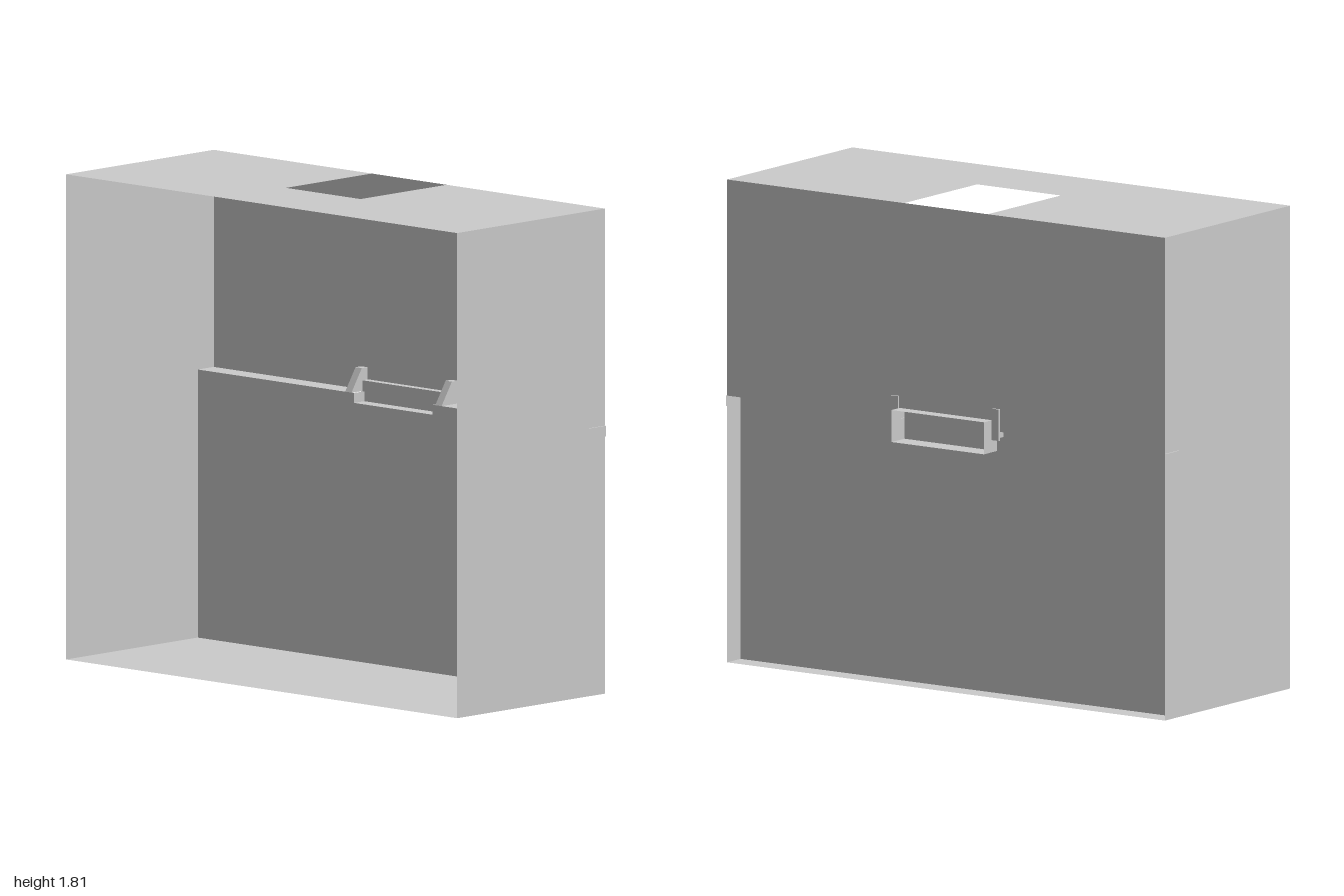
import * as THREE from 'three';

const W = 0.994, H = 1.81, FRONT = 0.42, BACK = -0.37, INNER = -0.285, SHELF = 1.0;
const material = new THREE.MeshStandardMaterial({ color: 0xcccccc, side: THREE.DoubleSide, flatShading: true });

function outline(points) {
  return new THREE.Shape(points.map(([a, b]) => new THREE.Vector2(a, b)));
}

export function createModel() {
  const model = new THREE.Group();

  const add = (name, geometry) => {
    const mesh = new THREE.Mesh(geometry, material);
    mesh.name = name;
    model.add(mesh);
    return mesh;
  };
  // upright sheet facing z, points are (x, y)
  const upright = (name, z, points) =>
    add(name, new THREE.ShapeGeometry(outline(points)).translate(0, 0, z));
  // level sheet, points are (x, z)
  const level = (name, y, points) =>
    add(name, new THREE.ShapeGeometry(outline(points.map(([x, z]) => [x, -z]))).rotateX(-Math.PI / 2).translate(0, y, 0));
  // side sheet facing x, points are (z, y)
  const side = (name, x, points) =>
    add(name, new THREE.ShapeGeometry(outline(points.map(([z, y]) => [-z, y]))).rotateY(Math.PI / 2).translate(x, 0, 0));
  const rect = (a0, b0, a1, b1) => [[a0, b0], [a1, b0], [a1, b1], [a0, b1]];

  // open-fronted case
  level('floor', 0, rect(-W, BACK, W, FRONT));
  level('topPanel', H, [
    [-W, FRONT], [W, FRONT], [W, BACK], [0.19, BACK], [0.19, 0.09], [-0.19, 0.09], [-0.19, BACK], [-W, BACK],
  ]);
  for (const s of [-1, 1]) side('sidePanel', s * W, rect(BACK, 0, FRONT, H));

  // stepped back, notched around the handle pocket
  upright('upperBackPanel', BACK, [
    [-W, SHELF], [-0.21, SHELF], [-0.21, 1.04], [0.21, 1.04], [0.21, SHELF], [W, SHELF], [W, H], [-W, H],
  ]);
  upright('lowerBackPanel', INNER, [
    [-W, 0], [W, 0], [W, SHELF], [0.2, SHELF], [0.2, 0.963], [-0.2, 0.963], [-0.2, SHELF], [-W, SHELF],
  ]);

  // shelf joining the two back panels, with folded end flaps
  for (const s of [-1, 1]) {
    level('shelf', SHELF, rect(s * 0.205, BACK, s, INNER));
    side('shelfEndFlap', s, rect(BACK, 0.96, INNER, SHELF));
  }

  // handle pocket, open to the rear
  const DEEP = -0.34, OUT = -0.422, X = 0.21;
  upright('pocketWall', DEEP, rect(-X, 0.92, X, 1.04));
  level('pocketTop', 1.04, rect(-X, OUT, X, DEEP));
  level('pocketBottom', 0.92, rect(-X, OUT, X, DEEP));
  level('notchFloor', 0.963, rect(-0.2, DEEP, 0.2, INNER));
  for (const s of [-1, 1]) {
    side('pocketCheek', s * X, rect(OUT, 0.92, DEEP, 1.04));
    side('notchCheek', s * 0.2, rect(DEEP, 0.963, INNER, SHELF));
  }

  // sloped brackets on both ends of the handle
  const profile = outline([[-INNER, SHELF], [0.34, 1.085], [0.378, 1.085], [0.378, 0.967], [0.37, 0.967], [0.37, SHELF]]);
  for (const s of [-1, 1]) {
    add('handleBracket', new THREE.ExtrudeGeometry(profile, { depth: 0.032, bevelEnabled: false })
      .translate(0, 0, -0.016).rotateY(Math.PI / 2).translate(s * 0.229, 0, 0));
  }
  return model;
}
